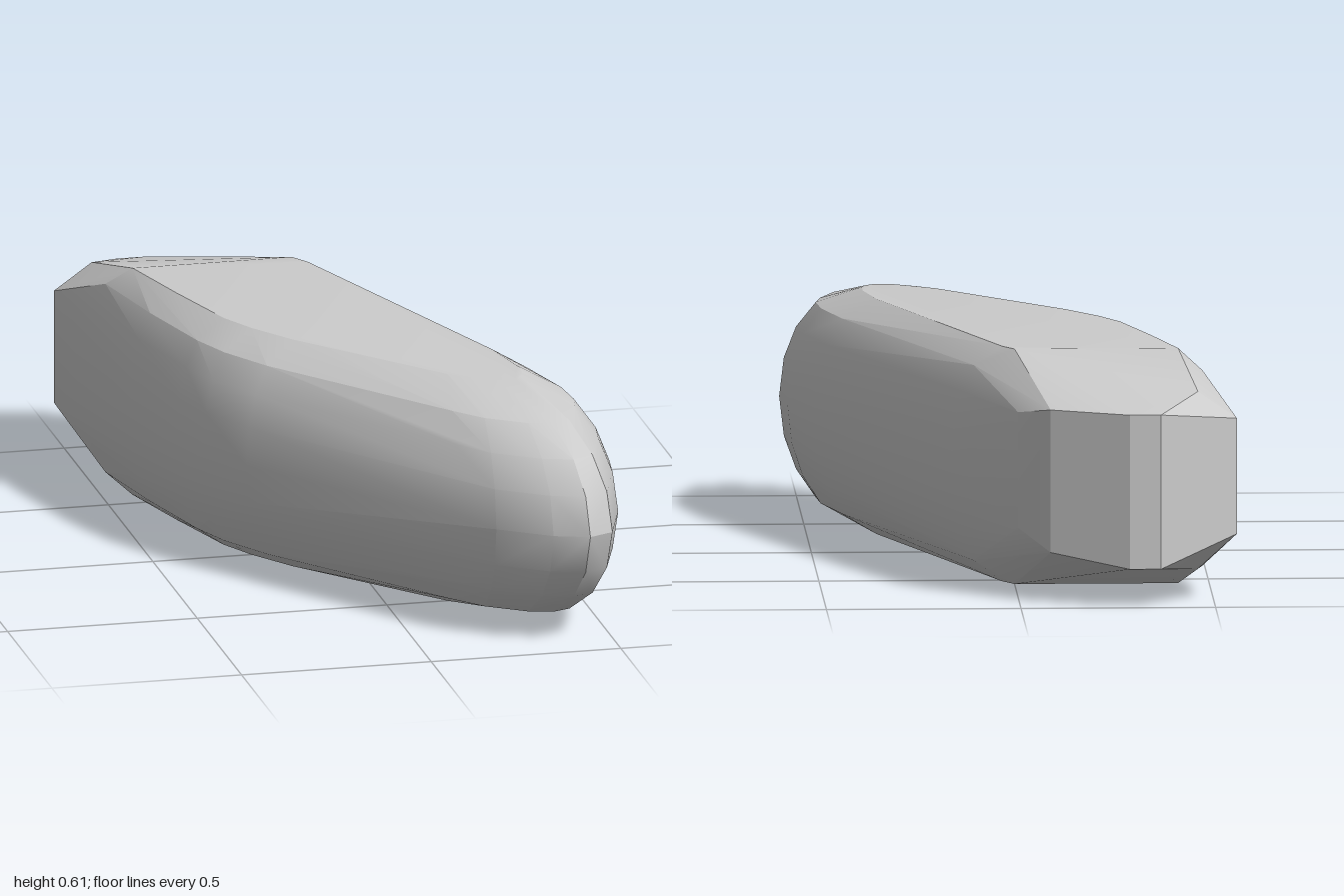
import * as THREE from 'three';
import { ConvexGeometry } from 'three/addons/geometries/ConvexGeometry.js';
import { toCreasedNormals } from 'three/addons/utils/BufferGeometryUtils.js';

// Plan of the stone: widest outline (x, z) paired with the rim of the flat top (x, z)
const RIM = [
  [0.16, -0.48, 0.03, -0.52],
  [0.32, -0.07, 0.19, -0.05],
  [0.48, 0.34, 0.32, 0.32],
  [0.54, 0.55, 0.35, 0.47],
  [0.556, 0.69, 0.35, 0.53],
  [0.54, 0.8, 0.34, 0.56],
  [0.485, 0.97, 0.32, 0.58],
  [0.42, 1.0, 0.3, 0.58],
  [0.33, 0.97, 0.27, 0.58],
  [0.2, 0.88, 0.21, 0.54],
  [0.12, 0.77, 0.16, 0.5],
  [-0.3, 0.2, -0.16, 0.12],
  [-0.38, 0.05, -0.24, 0],
  [-0.42, -0.08, -0.29, -0.1],
  [-0.48, -0.35, -0.36, -0.34],
  [-0.53, -0.65, -0.42, -0.57],
  [0.0, -0.57, 0.0, -0.57],
];

// Vertical edges of the chipped back end: x, z, bottom y, top y
const BACK_EDGES = [
  [-0.56, -0.86, 0.17, 0.47],
  [-0.46, -0.86, 0.08, 0.54],
  [-0.36, -1.0, 0.1, 0.5],
  [-0.28, -1.0, 0.1, 0.5],
  [-0.08, -0.9, 0.13, 0.5],
  [0.0, -0.8, 0.18, 0.48],
];

const HALF = 0.305; // half the height
const ANGLES = [0, 0.34, 0.65, 0.98, Math.PI / 2];

export function createModel() {
  const points = [];

  // Rounded flanks: a quarter ellipse from the outline to the top and bottom rims
  for (const [ox, oz, tx, tz] of RIM) {
    for (const a of ANGLES) {
      const c = Math.cos(a);
      for (const side of [-1, 1]) {
        points.push(new THREE.Vector3(
          tx + (ox - tx) * c,
          HALF + side * HALF * Math.sin(a),
          tz + (oz - tz) * c,
        ));
      }
    }
  }

  // Flat, chipped back end
  for (const [x, z, low, high] of BACK_EDGES) {
    points.push(new THREE.Vector3(x, low, z), new THREE.Vector3(x, high, z));
  }

  const geometry = toCreasedNormals(new ConvexGeometry(points), 0.42);
  const stone = new THREE.Mesh(geometry, new THREE.MeshStandardMaterial({ color: 0xcccccc }));
  stone.name = 'stone';

  const group = new THREE.Group();
  group.name = 'longStone';
  group.add(stone);
  return group;
}
